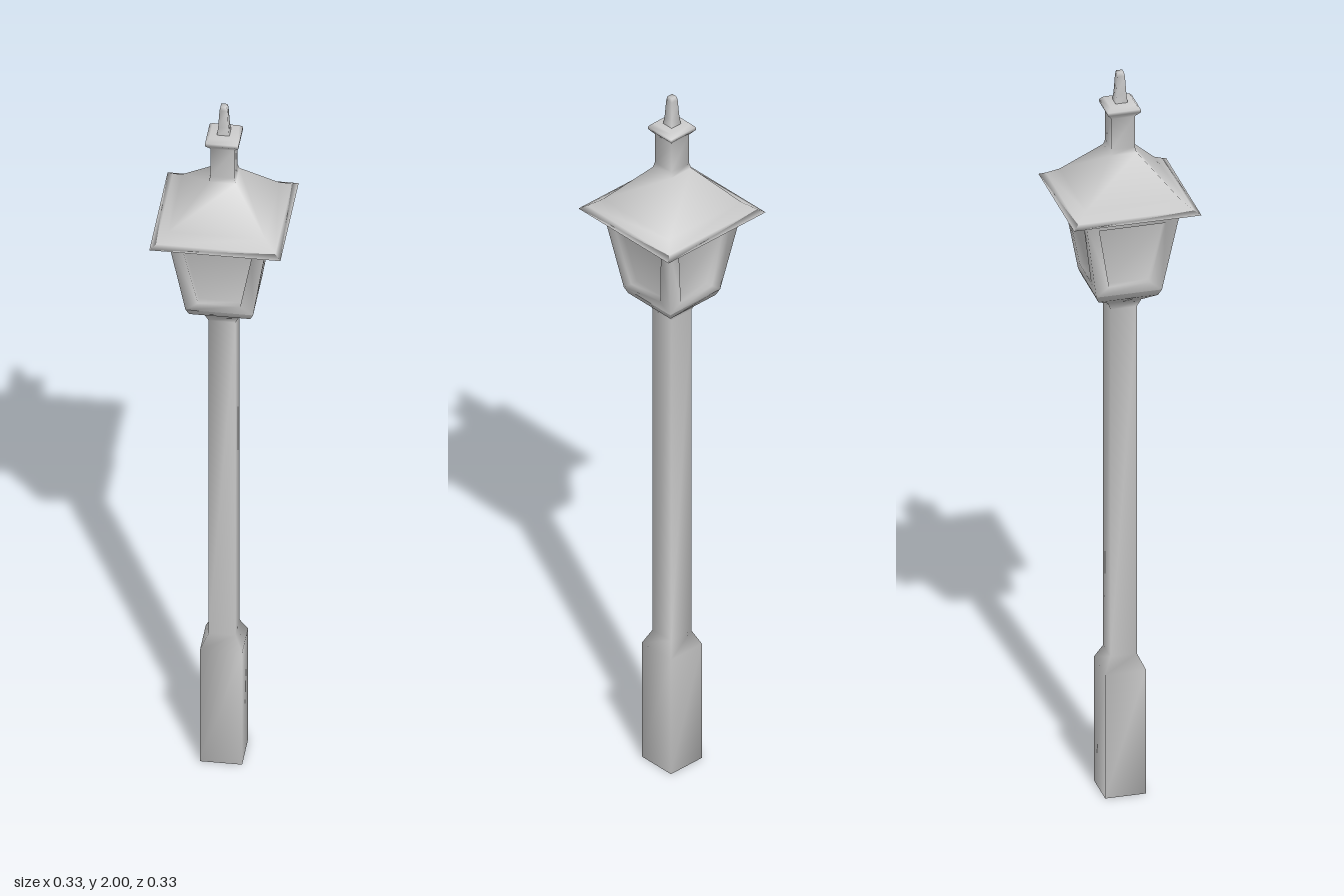
import * as THREE from 'three';

const material = new THREE.MeshStandardMaterial({ color: 0xcccccc });

// Indexed mesh with shared corners, so the normals blend smoothly
function makeMesh(name, points, index) {
  const geometry = new THREE.BufferGeometry();
  geometry.setAttribute('position', new THREE.Float32BufferAttribute(points.flat(), 3));
  geometry.setIndex(index);
  geometry.computeVertexNormals();
  const mesh = new THREE.Mesh(geometry, material);
  mesh.name = name;
  return mesh;
}

const quad = (a, b, c, d) => [a, b, c, a, c, d];

// Stack of square rings, each given as [half width, height]
function squareLoft(name, profile, capBottom, capTop) {
  const points = [];
  const index = [];
  for (const [h, y] of profile) {
    points.push([h, y, h], [h, y, -h], [-h, y, -h], [-h, y, h]);
  }
  for (let r = 0; r < profile.length - 1; r++) {
    for (let i = 0; i < 4; i++) {
      const a = r * 4 + i;
      const b = r * 4 + ((i + 1) % 4);
      index.push(...quad(a, b, b + 4, a + 4));
    }
  }
  const t = (profile.length - 1) * 4;
  if (capBottom) index.push(...quad(3, 2, 1, 0));
  if (capTop) index.push(...quad(t, t + 1, t + 2, t + 3));
  return makeMesh(name, points, index);
}

// Four sloping walls, each with a recessed window pane
function lanternWalls() {
  const y0 = 1.42, y1 = 1.655, h0 = 0.085, h1 = 0.123;
  const depth = 0.02;
  const wallAt = (y) => h0 + ((h1 - h0) * (y - y0)) / (y1 - y0);
  const outline = (bottom, low, top, high, inset) => [
    [-bottom, low, wallAt(low) - inset],
    [bottom, low, wallAt(low) - inset],
    [top, high, wallAt(high) - inset],
    [-top, high, wallAt(high) - inset],
  ];
  const side = [
    ...outline(h0, y0, h1, y1, 0),
    ...outline(0.053, 1.447, 0.086, 1.622, 0),
    ...outline(0.053, 1.447, 0.086, 1.622, depth),
  ];
  const points = [];
  const index = [];
  const seen = new Map();
  for (let k = 0; k < 4; k++) {
    const c = [1, 0, -1, 0][k];
    const s = [0, 1, 0, -1][k];
    // Reuse the corners shared with the neighbouring wall
    const id = side.map(([x, y, z]) => {
      const p = [x * c + z * s, y, -x * s + z * c];
      const key = p.map((v) => Math.round(v * 10000)).join();
      if (!seen.has(key)) {
        seen.set(key, points.length);
        points.push(p);
      }
      return seen.get(key);
    });
    for (let i = 0; i < 4; i++) {
      const j = (i + 1) % 4;
      index.push(...quad(id[i], id[j], id[4 + j], id[4 + i])); // frame
      index.push(...quad(id[4 + i], id[4 + j], id[8 + j], id[8 + i])); // reveal
    }
    index.push(...quad(id[8], id[9], id[10], id[11])); // pane
  }
  return makeMesh('lanternWalls', points, index);
}

export function createModel() {
  const model = new THREE.Group();
  model.name = 'streetLamp';

  // Square plinth, slim pole and the flare that carries the lantern
  model.add(squareLoft('post', [
    [0.053, 0], [0.053, 0.345], [0.034, 0.385], [0.034, 1.355],
    [0.043, 1.378], [0.077, 1.402], [0.085, 1.42],
  ], true, false));

  model.add(lanternWalls());

  // Flared eaves, hipped roof, chimney and its moulded cap
  model.add(squareLoft('roof', [
    [0.118, 1.652], [0.165, 1.655], [0.15, 1.664], [0.122, 1.685], [0.034, 1.785],
    [0.03, 1.8], [0.03, 1.885], [0.042, 1.9], [0.042, 1.908], [0.033, 1.918],
  ], true, true));

  // Tapered spike
  model.add(squareLoft('finial', [
    [0.016, 1.915], [0.013, 1.94], [0.01, 1.99], [0.008, 2],
  ], false, true));

  return model;
}
